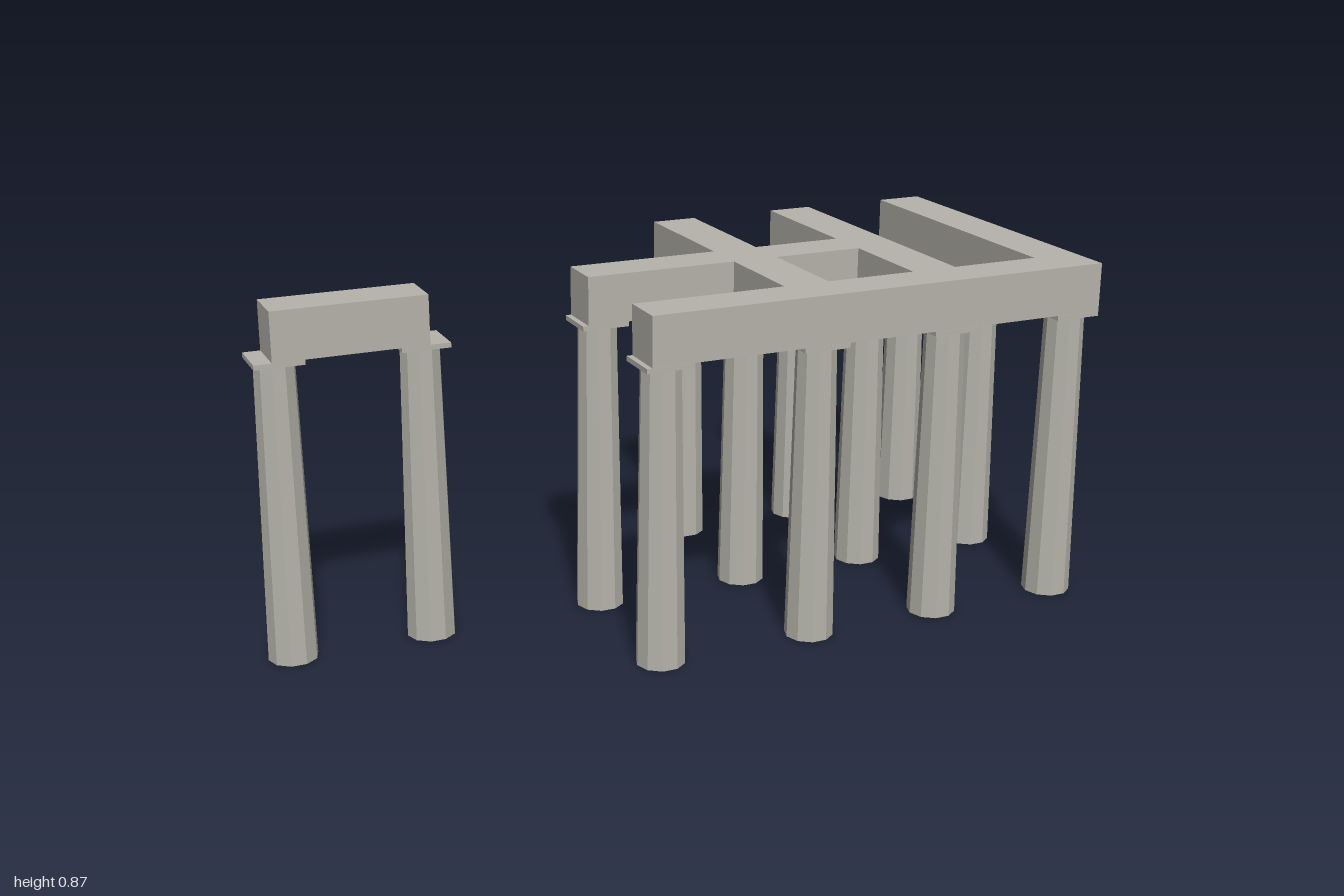
import * as THREE from 'three';

const COLUMN_TOP = 0.734, BEAM_BOTTOM = 0.746, BEAM_TOP = 0.866;

// Plan points are [x, z]; the slab is extruded upwards.
function beamSlab(outline, holes = []) {
  const toPoints = (pts) => pts.map(([x, z]) => new THREE.Vector2(x, -z));
  const shape = new THREE.Shape(toPoints(outline));
  for (const hole of holes) shape.holes.push(new THREE.Path(toPoints(hole)));
  const geo = new THREE.ExtrudeGeometry(shape, { depth: BEAM_TOP - BEAM_BOTTOM, bevelEnabled: false });
  return geo.rotateX(-Math.PI / 2).translate(0, BEAM_BOTTOM, 0);
}

const rect = (x0, x1, z0, z1) => [[x0, z1], [x1, z1], [x1, z0], [x0, z0]];

export function createModel() {
  const model = new THREE.Group();
  const stone = new THREE.MeshStandardMaterial({ color: 0xb5b3aa, flatShading: true, side: THREE.DoubleSide });
  stone.name = 'weathered stone';

  const add = (parent, name, geometry) => {
    const mesh = new THREE.Mesh(geometry, stone);
    mesh.name = name;
    parent.add(mesh);
    return mesh;
  };

  // Tapered ten-sided shaft, open underneath, with a thin square capital
  const shaft = new THREE.CylinderGeometry(0.0485, 0.06, COLUMN_TOP, 10, 1, true)
    .rotateY(Math.PI / 2).translate(0, COLUMN_TOP / 2, 0);
  const capital = new THREE.BoxGeometry(0.118, BEAM_BOTTOM - COLUMN_TOP, 0.114)
    .translate(0, (COLUMN_TOP + BEAM_BOTTOM) / 2, 0);

  // Column positions, row by row
  const rows = [
    { z: 0.374, xs: [-0.15, 0.247, 0.595, 0.94] },
    { z: -0.004, xs: [-0.94, -0.597, -0.15, 0.247, 0.595, 0.94] },
    { z: -0.373, xs: [0.247, 0.595, 0.94] },
  ];
  for (const { z, xs } of rows) {
    for (const x of xs) {
      const column = new THREE.Group();
      column.name = 'column';
      column.position.set(x, 0, z);
      add(column, 'shaft', shaft);
      add(column, 'capital', capital);
      model.add(column);
    }
  }

  // Joined beams over the main colonnade
  add(model, 'mainBeams', beamSlab([
    [-0.195, 0.43], [1, 0.43], [1, -0.43], [0.881, -0.43], [0.881, 0.317], [0.653, 0.317],
    [0.653, -0.43], [0.536, -0.43], [0.536, -0.062], [0.306, -0.062], [0.306, -0.43], [0.189, -0.43],
    [0.189, -0.062], [-0.195, -0.062], [-0.195, 0.053], [0.189, 0.053], [0.189, 0.317], [-0.195, 0.317],
  ], [rect(0.306, 0.536, 0.053, 0.317)]));

  // Short beam over the separate pair of columns
  add(model, 'detachedBeam', beamSlab(rect(-0.957, -0.588, -0.062, 0.053)));

  return model;
}
